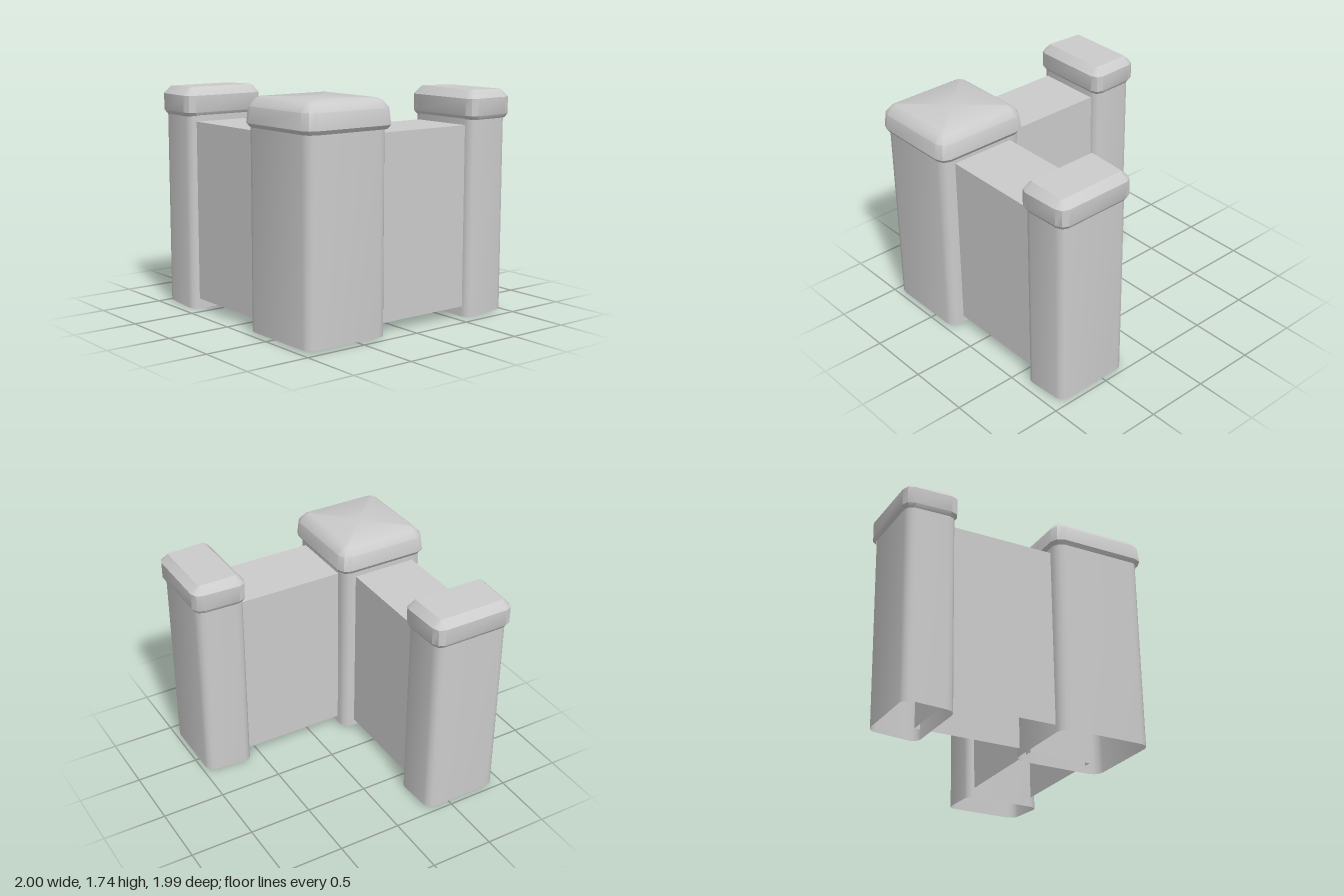
import * as THREE from 'three';
import { toCreasedNormals } from 'three/addons/utils/BufferGeometryUtils.js';

const grey = new THREE.MeshStandardMaterial({ color: 0xcccccc, side: THREE.DoubleSide });

// Outline of a rectangle with rounded corners, in the xz plane
function ring(w, d, r, segs) {
  const pts = [];
  const signs = [[1, 1], [-1, 1], [-1, -1], [1, -1]];
  signs.forEach(([sx, sz], q) => {
    for (let i = 0; i <= segs; i++) {
      const a = (q + i / segs) * Math.PI / 2;
      pts.push([sx * (w / 2 - r) + r * Math.cos(a), sz * (d / 2 - r) + r * Math.sin(a)]);
    }
  });
  return pts;
}

// Skin over stacked rings; each level is [y, inset, corner radius]
function loft(w, d, levels, segs, closeTop, warp) {
  const pos = [], idx = [];
  const n = 4 * (segs + 1);
  levels.forEach(([y, inset, r]) => {
    for (const [x, z] of ring(w - 2 * inset, d - 2 * inset, r, segs)) pos.push(x, y, z);
  });
  for (let i = 0; i < levels.length - 1; i++) {
    for (let j = 0; j < n; j++) {
      const a = i * n + j, b = i * n + (j + 1) % n;
      idx.push(a, a + n, b, b, a + n, b + n);
    }
  }
  if (closeTop) {
    const base = (levels.length - 1) * n;
    pos.push(0, levels[levels.length - 1][0], 0);
    for (let j = 0; j < n; j++) idx.push(levels.length * n, base + (j + 1) % n, base + j);
  }
  const geo = new THREE.BufferGeometry();
  geo.setAttribute('position', new THREE.Float32BufferAttribute(pos, 3));
  geo.setIndex(idx);
  if (warp) {
    const p = geo.attributes.position, v = new THREE.Vector3();
    for (let i = 0; i < p.count; i++) {
      warp(v.fromBufferAttribute(p, i));
      p.setXYZ(i, v.x, v.y, v.z);
    }
  }
  return toCreasedNormals(geo, 0.62);
}

function mesh(name, geo, x, z) {
  const m = new THREE.Mesh(geo, grey);
  m.name = name;
  m.position.set(x, 0, z);
  return m;
}

// Square corner tower, open underneath, with a domed cap
function cornerTower() {
  const g = new THREE.Group();
  g.name = 'cornerTower';
  g.add(mesh('cornerColumn', loft(0.74, 0.71, [[0.02, 0, 0.08], [1.53, 0, 0.08]], 3, false), 0.6, 0.61));
  const levels = [[1.52, 0.02, 0.07], [1.55, 0, 0.08], [1.67, 0.01, 0.08], [1.72, 0.05, 0.05], [1.74, 0.085, 0.02]];
  g.add(mesh('cornerCap', loft(0.79, 0.77, levels, 2, true), 0.605, 0.605));
  return g;
}

// Narrow end tower; its outer side tapers and its base and top tilt slightly
function endTower(name, axis) {
  const g = new THREE.Group();
  g.name = name;
  const alongX = axis === 'x', other = alongX ? 'z' : 'x';
  const size = (thin, wide) => alongX ? [thin, wide] : [wide, thin];
  const outer = (v, thin) => 0.5 - v[axis] / thin;
  const place = t => alongX ? [t, 0.61] : [0.605, t];

  const column = loft(...size(0.39, 0.64), [[0, 0, 0.07], [1.53, 0, 0.07]], 3, false, v => {
    const t = outer(v, 0.39);
    if (v.y < 0.1) v.y += 0.02 * t;
    v[other] *= 1 - 0.03 * t;
  });
  g.add(mesh(name + 'Column', column, ...place(-0.78)));

  const levels = [[1.52, 0.02, 0.06], [1.55, 0, 0.07], [1.68, 0, 0.07], [1.72, 0.03, 0.05], [1.745, 0.06, 0.01]];
  const cap = loft(...size(0.43, 0.69), levels, 2, true, v => {
    const t = outer(v, 0.43);
    if (v.y > 1.7) v.y -= 0.01 * t;
    v[other] *= 1 - 0.04 * t;
  });
  g.add(mesh(name + 'Cap', cap, ...place(-0.785)));
  return g;
}

// Thick wall block without an underside
function wall(name, w, d, x, z) {
  const geo = new THREE.BoxGeometry(w, 1.4, d);
  const index = Array.from(geo.index.array);
  index.splice(18, 6);
  geo.setIndex(index);
  geo.clearGroups();
  const m = mesh(name, geo, x, z);
  m.position.y = 0.78;
  return m;
}

export function createModel() {
  const model = new THREE.Group();
  model.name = 'castleWallCorner';
  model.add(
    cornerTower(),
    endTower('rightTower', 'x'),
    endTower('backTower', 'z'),
    wall('frontWall', 0.93, 0.52, -0.165, 0.61),
    wall('sideWall', 0.52, 0.95, 0.6, -0.155),
  );
  return model;
}
